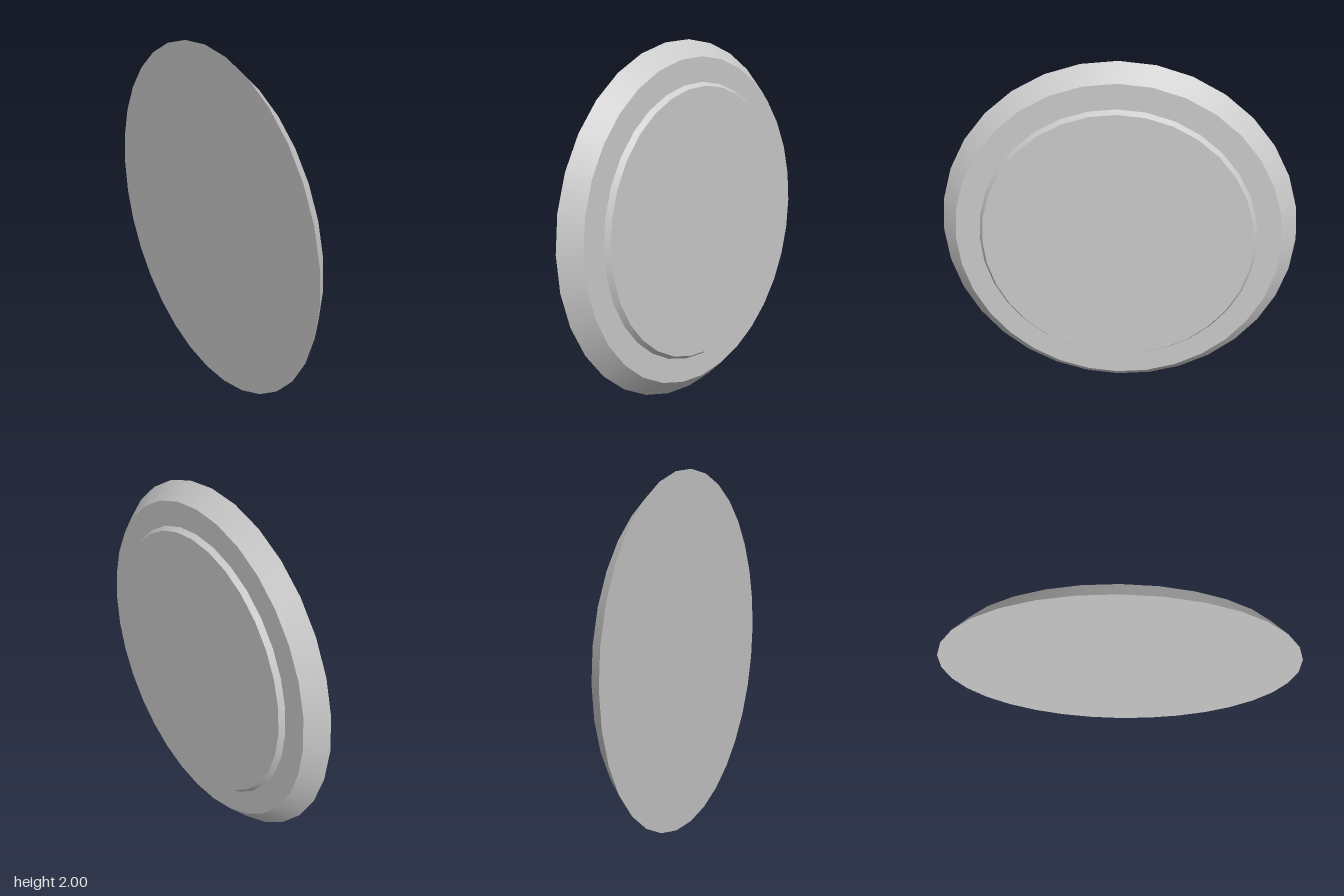
import * as THREE from 'three';

const material = new THREE.MeshStandardMaterial({ color: 0xcccccc });

// Tapered disc lying across x, from x0 (radius r0) to x1 (radius r1)
function taperedDisc(name, x0, r0, x1, r1) {
  const geometry = new THREE.CylinderGeometry(r1, r0, x1 - x0, 32);
  geometry.rotateZ(-Math.PI / 2);
  const mesh = new THREE.Mesh(geometry, material);
  mesh.name = name;
  mesh.position.set((x0 + x1) / 2, 1, 0);
  return mesh;
}

export function createModel() {
  const model = new THREE.Group();
  model.name = 'roundPlate';
  // Wide bevelled base with a flat back
  model.add(taperedDisc('basePlate', -0.06, 1, 0.033, 0.91));
  // Thin raised face
  model.add(taperedDisc('raisedFace', 0.033, 0.775, 0.06, 0.755));
  return model;
}
